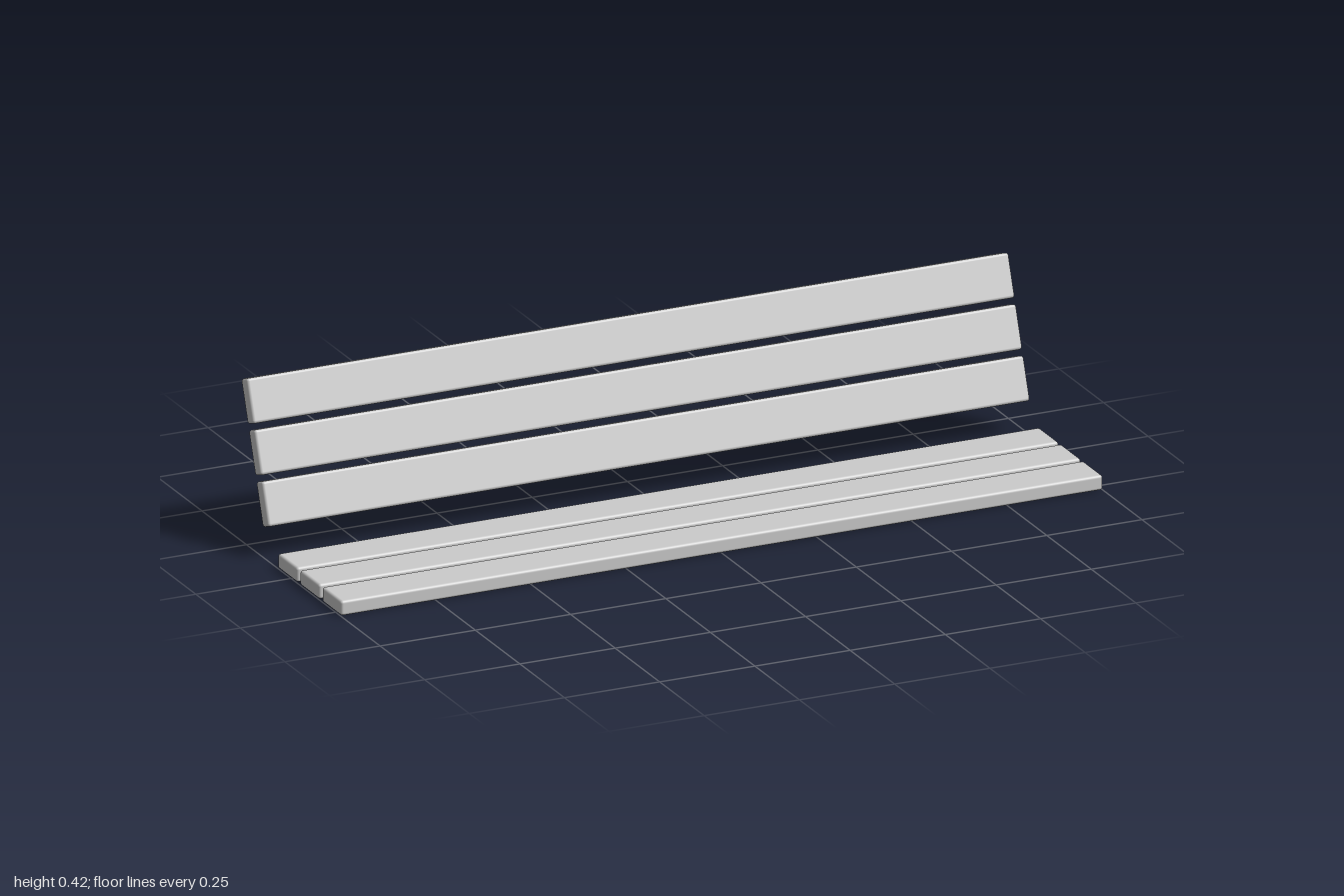
import * as THREE from 'three';
import { RoundedBoxGeometry } from 'three/addons/geometries/RoundedBoxGeometry.js';

const LENGTH = 2, WIDTH = 0.109, THICK = 0.038, EDGE = 0.007;
const PITCH = 0.124;                          // slat centre to slat centre
const LEAN = THREE.MathUtils.degToRad(20);    // backrest lean from vertical

export function createModel() {
  const model = new THREE.Group();
  model.name = 'benchSlats';
  const material = new THREE.MeshStandardMaterial({ color: 0xcccccc });
  const slat = new RoundedBoxGeometry(LENGTH, THICK, WIDTH, 3, EDGE);

  // Three parallel slats, centred on the group and spaced along its local z
  const slatRow = (name) => {
    const row = new THREE.Group();
    row.name = name;
    for (let i = -1; i <= 1; i++) {
      const mesh = new THREE.Mesh(slat, material);
      mesh.name = `${name}Slat${i + 2}`;
      mesh.position.z = i * PITCH;
      row.add(mesh);
    }
    model.add(row);
    return row;
  };

  // Flat seat
  slatRow('seat').position.set(0, THICK / 2, 0.103);

  // Backrest, stood up and leaning backwards
  const back = slatRow('backrest');
  back.position.set(0, 0.249, -0.2045);
  back.rotation.x = Math.PI / 2 - LEAN;

  return model;
}
